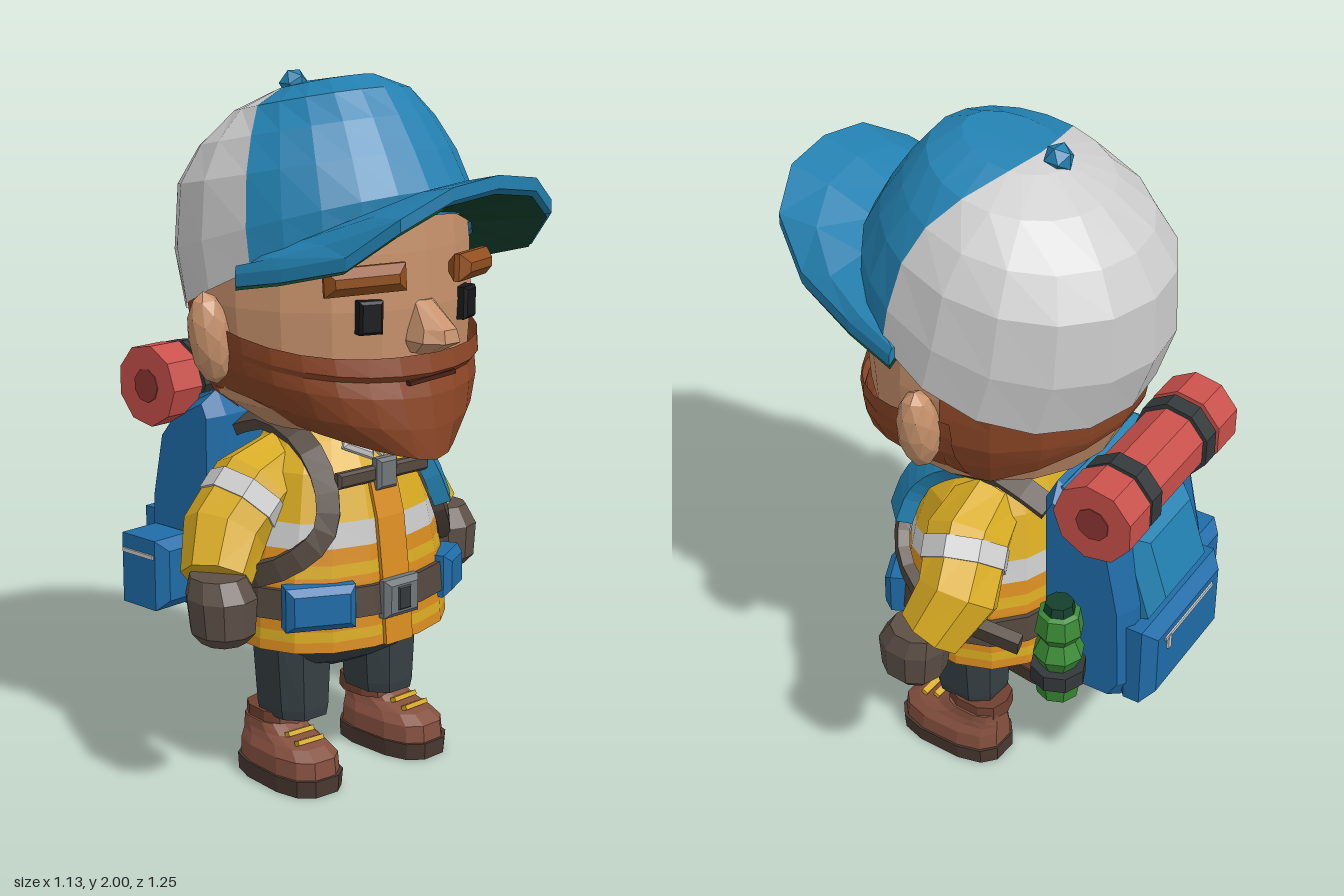
import * as THREE from 'three';

const C = { blue: 0x2380b0, pack: 0x1f6ca8, skin: 0xc6916b, beard: 0x8a4526, brow: 0x93501f, red: 0xc8504a, green: 0x3a8a35,
  yellow: 0xd8ab22, vest: 0xd88c20, strap: 0x54483f, glove: 0x5c4f46, pants: 0x364044, boot: 0x85503f, sole: 0x4a3830,
  black: 0x16181a, dark: 0x33383a, grey: 0xcccccc, under: 0x14402c };
const PI = Math.PI;
const V = (x, y, z) => new THREE.Vector3(x, y, z);
const lerp = THREE.MathUtils.lerp;

function mesh(name, color, geo, parent, pos = [0, 0, 0], rot = [0, 0, 0], double = false) {
  const m = new THREE.Mesh(geo, new THREE.MeshStandardMaterial({ color, flatShading: true, side: double ? THREE.DoubleSide : THREE.FrontSide }));
  m.name = name;
  m.position.set(...pos);
  m.rotation.set(...rot);
  parent.add(m);
  return m;
}

// Skin a list of equal-length point rings; faces are turned to point outward.
function loft(rings, { closed = true, caps = [true, true] } = {}) {
  const tris = [], n = rings[0].length;
  for (let i = 0; i + 1 < rings.length; i++) for (let j = 0; j < (closed ? n : n - 1); j++) {
    const k = (j + 1) % n, [a, b, c, d] = [rings[i][j], rings[i][k], rings[i + 1][k], rings[i + 1][j]];
    tris.push([a, d, c], [a, c, b]);
  }
  const mean = r => r.reduce((s, p) => s.add(p), V(0, 0, 0)).divideScalar(r.length);
  [rings[0], rings[rings.length - 1]].forEach((r, e) => {
    if (!caps[e]) return;
    const m = mean(r);
    for (let j = 0; j < n; j++) {
      const k = (j + 1) % n;
      tris.push(e ? [r[j], m, r[k]] : [r[j], r[k], m]);
    }
  });
  const mid = mean(rings.flat());
  let vol = 0;
  for (const [a, b, c] of tris) vol += a.clone().sub(mid).dot(b.clone().sub(mid).cross(c.clone().sub(mid)));
  const pts = tris.flatMap(t => (vol < 0 ? [t[0], t[2], t[1]] : t));
  const geo = new THREE.BufferGeometry().setFromPoints(pts);
  geo.computeVertexNormals();
  return geo;
}

// Point on a rounded horizontal section: half width w, front zf, back zb.
function sectionPoint(y, [w, zf, zb], a, off = 0, p = 1) {
  const pw = v => Math.sign(v) * Math.abs(v) ** p;
  return V((w + off) * pw(Math.cos(a)), y, (zf + zb) / 2 + ((zf - zb) / 2 + off) * pw(Math.sin(a)));
}
const ring = (y, s, n, off, p) => Array.from({ length: n }, (_, i) => sectionPoint(y, s, (i + 0.5) / n * 2 * PI, off, p));
const stack = (rows, n, p) => loft(rows.map(([y, ...s]) => ring(y, s, n, 0, p)));

// Section of a profile table [y, w, zf, zb] at any height
function at(table, y) {
  let i = 0;
  while (i < table.length - 2 && y > table[i + 1][0]) i++;
  const [a, b] = [table[i], table[i + 1]], t = THREE.MathUtils.clamp((y - a[0]) / (b[0] - a[0]), 0, 1);
  return [1, 2, 3].map(k => lerp(a[k], b[k], t));
}

// Round limb through points with a radius at each
function limb(pts, radii, n = 8) {
  return loft(pts.map((p, i) => {
    const t = pts[Math.min(i + 1, pts.length - 1)].clone().sub(pts[Math.max(i - 1, 0)]).normalize();
    const s = t.clone().cross(V(0, 0, 1)).normalize(), u = t.clone().cross(s);
    return Array.from({ length: n }, (_, j) => p.clone().addScaledVector(s, radii[i] * Math.cos(j / n * 2 * PI)).addScaledVector(u, radii[i] * Math.sin(j / n * 2 * PI)));
  }));
}

// Flat strap lying on the torso
function ribbon(list, width, thick) {
  const pts = new THREE.CatmullRomCurve3(list.map(p => V(...p))).getPoints(list.length * 2);
  return loft(pts.map((p, i) => {
    const t = pts[Math.min(i + 1, pts.length - 1)].clone().sub(pts[Math.max(i - 1, 0)]).normalize();
    const s = t.clone().cross(p.clone().sub(V(0, 0.72, -0.02))).normalize(), u = s.clone().cross(t).normalize();
    return [[-1, -1], [1, -1], [1, 1], [-1, 1]].map(([a, b]) => p.clone().addScaledVector(s, a * width / 2).addScaledVector(u, b * thick / 2));
  }));
}

// Chamfered box
function block(w, h, d, b = 0.02) {
  const x = w / 2 - b, y = h / 2 - b;
  const shape = new THREE.Shape([[-x, -y], [x, -y], [x, y], [-x, y]].map(p => new THREE.Vector2(...p)));
  return new THREE.ExtrudeGeometry(shape, { depth: d - 2 * b, bevelThickness: b, bevelSize: b, bevelSegments: 1 }).translate(0, 0, b - d / 2);
}

const HEAD = [[1.04, 0.22, 0.2, -0.22], [1.12, 0.335, 0.31, -0.34], [1.25, 0.39, 0.355, -0.4], [1.4, 0.402, 0.362, -0.415], [1.55, 0.395, 0.355, -0.41], [1.67, 0.375, 0.345, -0.38]];
const TORSO = [[0.43, 0.34, 0.26, -0.285], [0.62, 0.33, 0.243, -0.27], [0.79, 0.29, 0.22, -0.25], [0.92, 0.25, 0.18, -0.22], [1.0, 0.19, 0.13, -0.19], [1.05, 0.13, 0.09, -0.14]];

function buildHead(g) {
  mesh('head', C.skin, loft(HEAD.map(([y, ...s]) => ring(y, s, 18))), g);
  // Hair band around the back, beard around the front
  const span = (a0, a1, n, f) => Array.from({ length: n + 1 }, (_, i) => f(lerp(a0, a1, i / n)));
  mesh('hair', C.beard, loft([0, 0.25, 0.5, 0.75, 1].map(t => span(PI * 19 / 18, PI * 35 / 18, 8, a => {
    const y = lerp(1.23 - 0.14 * Math.cos(a) ** 2, 1.325 + 0.15 * (Math.sin(a) + 1), t);
    return sectionPoint(y, at(HEAD, y), a, 0.008);
  })), { closed: false, caps: [false, false] }), g, undefined, undefined, true);
  const beardRows = [[0, 0.23, 0.405], [0.3, 0.347, 0.4], [0.6, 0.393, 0.386], [0.76, 0.402, 0.37], [0.82, 0.405, 0.386], [1, 0.41, 0.373]];
  mesh('beard', C.beard, loft(beardRows.map(([t, w, zf]) => span(-0.25, PI + 0.25, 16, a => {
    const s = Math.max(Math.sin(a), 0), y = lerp(0.985 + 0.085 * (1 - s) ** 0.6, 1.275 + 0.07 * (1 - s) ** 1.5, t);
    return sectionPoint(y, [w, zf, -0.04 - zf], a, 0, 0.95);
  })), { closed: false, caps: [true, false] }), g, undefined, undefined, true);
  mesh('mouth', 0x4a2216, new THREE.BoxGeometry(0.17, 0.012, 0.02), g, [0.01, 1.207, 0.37], [0, 0, 0.06]);
  mesh('nose', C.skin, stack([[1.28, 0.05, 0.4, 0.3], [1.315, 0.072, 0.47, 0.3], [1.35, 0.06, 0.46, 0.3], [1.42, 0.035, 0.37, 0.3]], 8), g);
  for (const s of [-1, 1]) {
    mesh('eye', C.black, block(0.068, 0.09, 0.05, 0.008), g, [s * 0.175, 1.388, 0.325], [0, s * 0.35, 0]);
    mesh('eyebrow', C.brow, block(0.225, 0.075, 0.065, 0.025), g, [s * 0.195, 1.49, 0.33], [0, s * 0.45, -s * 0.05]);
    const ear = mesh('ear', C.skin, new THREE.IcosahedronGeometry(1, 1), g, [s * 0.42, 1.31, -0.04], [0, s * 0.25, -s * 0.15]);
    ear.scale.set(0.06, 0.13, 0.06);
  }
}

function buildCap(g) {
  // Tilted rings: front z, y; back z, y; half width; z of the colour seam
  const rows = [[0.368, 1.645, -0.43, 1.31, 0.415, 0.1], [0.37, 1.71, -0.49, 1.48, 0.412, 0.08], [0.31, 1.81, -0.485, 1.67, 0.385, 0.05],
    [0.248, 1.9, -0.42, 1.78, 0.325, 0.01], [0.19, 1.97, -0.31, 1.88, 0.24, -0.05], [0.11, 2.0, -0.19, 1.945, 0.12, -0.1]];
  const half = (front, n) => [...rows.map(([zf, yf, zb, yb, w, seam]) => {
    const zc = (zf + zb) / 2, d = (zf - zb) / 2, a = Math.asin((seam - zc) / d);
    const [a0, a1] = front ? [a, PI - a] : [PI - a, 2 * PI + a];
    return Array.from({ length: n + 1 }, (_, i) => {
      const q = lerp(a0, a1, i / n), s = Math.sin(q);
      return V(w * Math.cos(q), lerp(yb, yf, ((s + 1) / 2) ** 1.3), zc + d * s);
    });
  }), Array.from({ length: n + 1 }, () => V(0, 1.968, -0.12))];
  const open = { closed: false, caps: [false, false] };
  mesh('capFront', C.blue, loft(half(true, 10), open), g, undefined, undefined, true);
  mesh('capBack', C.grey, loft(half(false, 10), open), g, undefined, undefined, true);
  mesh('capButton', C.blue, new THREE.IcosahedronGeometry(0.042, 0), g, [-0.015, 1.96, -0.165]);
  // Curved brim: inner edge and outer edge from centre to side
  const inner = [[0, 1.69, 0.355], [0.13, 1.675, 0.335], [0.24, 1.635, 0.285], [0.32, 1.59, 0.21], [0.375, 1.548, 0.12], [0.395, 1.515, 0.05]];
  const outer = [[0, 1.775, 0.622], [0.15, 1.755, 0.61], [0.275, 1.68, 0.55], [0.34, 1.575, 0.42], [0.387, 1.525, 0.22], [0.412, 1.495, 0.06]];
  const mirror = e => [...e.slice(1).reverse().map(([x, y, z]) => V(-x, y, z)), ...e.map(p => V(...p))];
  const [a, b] = [mirror(inner), mirror(outer)], down = (p, d) => p.clone().add(V(0, -d, 0));
  mesh('brim', C.blue, loft(a.map((p, i) => [p, p.clone().lerp(b[i], 0.55).add(V(0, 0.012, 0)), b[i], down(b[i], 0.035), down(p, 0.025)])), g);
  mesh('brimUnderside', C.under, loft([a.map(p => down(p, 0.04)), a.map((p, i) => down(p.clone().lerp(b[i], 0.95), 0.045))], open), g, undefined, undefined, true);
}

function buildTorso(g) {
  // Jacket in colour bands
  [[0.43, 0.46, C.vest], [0.46, 0.49, C.yellow], [0.49, 0.64, C.vest], [0.64, 0.675, C.yellow], [0.675, 0.72, C.vest], [0.72, 0.79, C.grey], [0.79, 1.05, C.yellow]].forEach(([y0, y1, color]) => {
    const ys = [y0, ...TORSO.map(r => r[0]).filter(y => y > y0 && y < y1), y1];
    mesh('jacketBand', color, loft(ys.map(y => ring(y, at(TORSO, y), 16, 0, 0.85))), g);
  });
  mesh('placket', C.vest, loft([0.43, 0.62, 0.79, 0.92].map(y => {
    const z = at(TORSO, y)[1];
    return [V(-0.05, y, z - 0.05), V(0.05, y, z - 0.05), V(0.05, y, z + 0.008), V(-0.05, y, z + 0.008)];
  })), g);
  for (const s of [-1, 1]) mesh('collar', C.grey, block(0.1, 0.07, 0.03, 0.01), g, [s * 0.045, 0.99, 0.14], [-0.6, 0, s * 0.5]);
  mesh('belt', C.strap, loft([0.525, 0.61].map(y => ring(y, at(TORSO, y), 16, 0.014, 0.85))), g);
  mesh('beltBuckle', 0x70767a, block(0.13, 0.11, 0.05, 0.015), g, [0, 0.565, 0.262]);
  mesh('buckleInset', C.dark, block(0.05, 0.07, 0.02, 0.005), g, [0, 0.565, 0.281]);
  mesh('beltPouch', C.pack, block(0.2, 0.125, 0.09), g, [-0.23, 0.565, 0.185], [0, -0.45, 0]);
  mesh('beltPouch', C.pack, block(0.14, 0.125, 0.09), g, [0.255, 0.565, 0.175], [0, 0.5, 0]);
  // Shoulder straps
  for (const s of [-1, 1]) {
    const path = [[0.15, 0.98, -0.27], [0.165, 1.035, -0.1], [0.175, 0.99, 0.07], [0.185, 0.88, 0.168], [0.22, 0.77, 0.195], [0.29, 0.69, 0.14], [0.345, 0.63, 0.0], [0.28, 0.57, -0.27]];
    mesh('shoulderStrap', C.strap, ribbon(path.map(([x, y, z]) => [s * x, y, z]), 0.065, 0.035), g);
  }
  mesh('strapPad', C.blue, ribbon([[0.165, 1.03, 0.02], [0.18, 0.98, 0.1], [0.2, 0.89, 0.17], [0.23, 0.79, 0.195]], 0.1, 0.05), g);
  mesh('chestStrap', C.strap, block(0.34, 0.045, 0.03, 0.008), g, [0, 0.91, 0.19]);
  mesh('chestBuckle', 0x70767a, block(0.075, 0.09, 0.04, 0.01), g, [0, 0.91, 0.2]);
}

function buildLimbs(g) {
  for (const s of [-1, 1]) {
    // The right arm swings forward, the left arm back
    const [ze, zw, zh] = s > 0 ? [-0.13, -0.09, -0.05] : [-0.04, 0.01, 0.065];
    const pts = [V(s * 0.13, 0.92, -0.06), V(s * 0.27, 0.86, s > 0 ? -0.08 : -0.05), V(s * 0.38, 0.755, ze), V(s * 0.45, 0.65, zw)];
    mesh('sleeve', C.yellow, limb(pts, [0.1, 0.125, 0.12, 0.1]), g);
    const mix = t => pts[1].clone().lerp(pts[2], t);
    mesh('sleeveStripe', C.grey, limb([mix(0.1), mix(0.5)], [0.128, 0.127]), g);
    mesh('glove', C.glove, stack([[0.49, 0.06, 0.07, -0.06], [0.52, 0.085, 0.097, -0.088], [0.62, 0.094, 0.102, -0.102], [0.675, 0.075, 0.065, -0.095]], 10, 0.9), g, [s * 0.476, 0, zh]);
    // Trouser leg and boot
    mesh('trouserLeg', C.pants, stack([[0.19, 0.085, 0.1, -0.11], [0.22, 0.092, 0.105, -0.115], [0.44, 0.11, 0.11, -0.12]], 8, 0.75), g, [s * 0.165, 0, 0]);
    const boot = new THREE.Group();
    boot.name = 'boot';
    boot.position.set(s * 0.2, 0, 0);
    boot.rotation.y = s * 0.05;
    g.add(boot);
    mesh('sole', C.sole, stack([[0, 0.102, 0.2, -0.155], [0.05, 0.106, 0.203, -0.155]], 12, 0.7), boot);
    mesh('bootUpper', C.boot, stack([[0.05, 0.1, 0.195, -0.15], [0.1, 0.097, 0.19, -0.148], [0.125, 0.082, 0.15, -0.146], [0.145, 0.074, 0.075, -0.143], [0.17, 0.07, 0.035, -0.14]], 12, 0.75), boot);
    mesh('bootCuff', 0x6e4030, stack([[0.155, 0.08, 0.045, -0.15], [0.2, 0.078, 0.035, -0.147]], 10, 0.8), boot, [-s * 0.015, 0, 0]);
    for (const [y, z] of [[0.14, 0.115], [0.153, 0.07]]) mesh('lace', C.yellow, new THREE.BoxGeometry(0.09, 0.014, 0.02), boot, [0, y, z], [-0.4, 0, 0]);
  }
  mesh('hips', C.pants, stack([[0.32, 0.15, 0.07, -0.14], [0.36, 0.24, 0.15, -0.2], [0.42, 0.285, 0.205, -0.245], [0.47, 0.295, 0.21, -0.255]], 14, 0.9), g);
}

function buildBackpack(g) {
  const pack = new THREE.Group();
  pack.name = 'backpack';
  pack.position.set(-0.04, 0, -0.4);
  pack.rotation.y = 0.09;
  g.add(pack);
  const side = [[-0.11, 0.48], [-0.07, 0.45], [0.09, 0.45], [0.12, 0.5], [0.11, 0.75], [0.07, 0.94], [0.02, 1.0], [-0.1, 1.06], [-0.12, 1.02]];
  const body = new THREE.ExtrudeGeometry(new THREE.Shape(side.map(p => new THREE.Vector2(...p))), { depth: 0.38, bevelThickness: 0.05, bevelSize: 0.03, bevelSegments: 1 });
  mesh('packBody', C.pack, body.translate(0, 0, -0.19).rotateY(PI / 2), pack);
  mesh('lowerPocket', C.pack, block(0.43, 0.26, 0.12, 0.035), pack, [0, 0.57, -0.152]);
  mesh('upperPocket', C.blue, block(0.32, 0.27, 0.13, 0.045), pack, [0, 0.83, -0.105], [0.32, 0, 0]);
  mesh('packLid', C.blue, block(0.4, 0.06, 0.24), pack, [0, 1.03, 0.01], [-0.35, 0, 0]);
  mesh('zip', C.grey, new THREE.BoxGeometry(0.28, 0.012, 0.01), pack, [0, 0.64, -0.212]);
  mesh('zipPull', C.grey, new THREE.BoxGeometry(0.015, 0.045, 0.012), pack, [0.12, 0.62, -0.213]);
  mesh('sidePouch', C.pack, block(0.13, 0.21, 0.2, 0.03), pack, [-0.315, 0.565, -0.025]);
  mesh('pouchZip', C.grey, new THREE.BoxGeometry(0.01, 0.012, 0.13), pack, [-0.381, 0.62, -0.025]);
  // Ribbed bottle held by a strap
  const bottle = [[0, 0.47], [0.06, 0.48], [0.07, 0.54], [0.05, 0.58], [0.074, 0.63], [0.052, 0.68], [0.07, 0.71], [0.06, 0.77], [0, 0.8]];
  mesh('bottle', C.green, new THREE.LatheGeometry(bottle.map(p => new THREE.Vector2(...p)), 8), pack, [0.32, 0, 0.025]);
  mesh('bottleCap', C.under, new THREE.CylinderGeometry(0.04, 0.05, 0.05, 8), pack, [0.32, 0.78, 0.025]);
  mesh('bottleStrap', C.dark, new THREE.CylinderGeometry(0.08, 0.08, 0.05, 8), pack, [0.32, 0.56, 0.025]);
  // Bed roll, pinched between its straps
  const roll = (name, color, r, len, x) => mesh(name, color, new THREE.CylinderGeometry(r, r, len, 9), pack, [x, 1.1, -0.06], [0, 0, PI / 2]);
  roll('bedRoll', C.red, 0.105, 0.5, 0);
  for (const s of [-1, 1]) {
    roll('rollEnd', C.red, 0.12, 0.11, s * 0.25);
    roll('rollSpiral', 0x8c3532, 0.05, 0.01, s * 0.303);
    roll('rollStrap', C.dark, 0.118, 0.055, s * 0.155);
  }
}

export function createModel() {
  const g = new THREE.Group();
  g.name = 'hiker';
  [buildHead, buildCap, buildTorso, buildLimbs, buildBackpack].forEach(build => build(g));
  return g;
}
